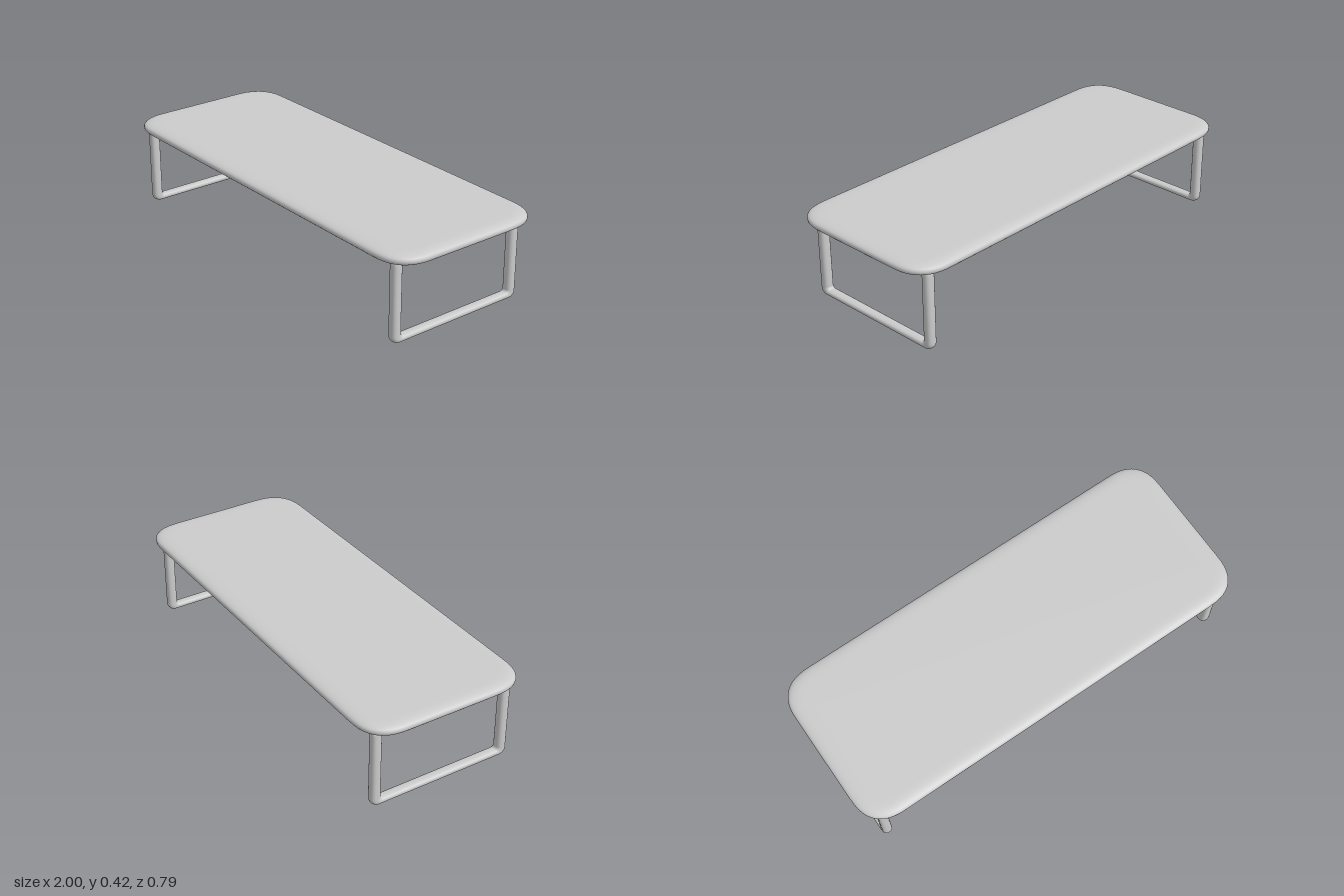
import * as THREE from 'three';

const material = new THREE.MeshStandardMaterial({ color: 0xcccccc, side: THREE.DoubleSide });

// signed power, used for superellipse curves
const sp = (v, n) => (Math.abs(v) < 1e-9 ? 0 : Math.sign(v) * Math.pow(Math.abs(v), 2 / n));

// rounded rectangle of half size a by b, counter-clockwise from the first axis
function outline(a, b, corner, n, steps) {
  const pts = [];
  for (let q = 0; q < 4; q++) {
    for (let k = 0; k <= steps; k++) {
      const t = (q + k / steps) * Math.PI / 2;
      const sx = q === 0 || q === 3 ? 1 : -1;
      const sy = q < 2 ? 1 : -1;
      pts.push([sx * (a - corner) + corner * sp(Math.cos(t), n),
        sy * (b - corner) + corner * sp(Math.sin(t), n)]);
    }
  }
  return pts;
}

// smooth skin over closed rings of points; closed also joins last ring to first
function loft(rings, closed) {
  const m = rings[0].length;
  const index = [];
  const rows = closed ? rings.length : rings.length - 1;
  for (let i = 0; i < rows; i++) {
    const i2 = (i + 1) % rings.length;
    for (let j = 0; j < m; j++) {
      const j2 = (j + 1) % m;
      const a = i * m + j, b = i2 * m + j, c = i2 * m + j2, d = i * m + j2;
      index.push(a, b, c, a, c, d);
    }
  }
  const g = new THREE.BufferGeometry();
  g.setAttribute('position', new THREE.Float32BufferAttribute(rings.flat(2), 3));
  g.setIndex(index);
  g.computeVertexNormals();
  return g;
}

// slab with softly rounded corners and a pillowed edge
function tabletop() {
  const edge = 0.07, half = 0.025, midY = 0.4, steps = 14;
  const ring = (inset, y) => outline(1 - inset, 0.395 - inset, 0.18 - inset, 2.6, 12)
    .map(([x, z]) => [x, y, z]);
  const rings = [];
  for (let i = 0; i <= steps; i++) {
    const v = (i / steps - 0.5) * Math.PI;
    rings.push(ring(edge * (1 - sp(Math.cos(v), 2.5)), midY + half * sp(Math.sin(v), 2.5)));
  }
  // flat top and bottom caps
  const centre = y => rings[0].map(() => [0, y, 0]);
  rings.unshift(centre(midY - half), ring(0.1, midY - half));
  rings.push(ring(0.1, midY + half), centre(midY + half));
  return loft(rings, false);
}

// rectangular leg loop with wide uprights and thinner rails
function legLoop() {
  const outer = outline(0.35, 0.195, 0.035, 2.3, 8);
  const inner = outline(0.303, 0.165, 0.012, 2, 8);
  const sides = 20;
  const rings = outer.map(([zo, yo], i) => {
    const [zi, yi] = inner[i];
    const section = [];
    for (let j = 0; j < sides; j++) {
      const s = j / sides * Math.PI * 2;
      const f = 0.5 + 0.5 * sp(Math.cos(s), 2.5);
      section.push([-0.024 * sp(Math.sin(s), 2.5), 0.198 + yi + (yo - yi) * f, zi + (zo - zi) * f]);
    }
    return section;
  });
  return loft(rings, true);
}

export function createModel() {
  const group = new THREE.Group();
  group.name = 'lowTable';

  const top = new THREE.Mesh(tabletop(), material);
  top.name = 'tabletop';
  group.add(top);

  const legGeometry = legLoop();
  for (const [name, x] of [['leftLegFrame', 0.896], ['rightLegFrame', -0.917]]) {
    const leg = new THREE.Mesh(legGeometry, material);
    leg.name = name;
    leg.position.x = x;
    group.add(leg);
  }
  return group;
}
